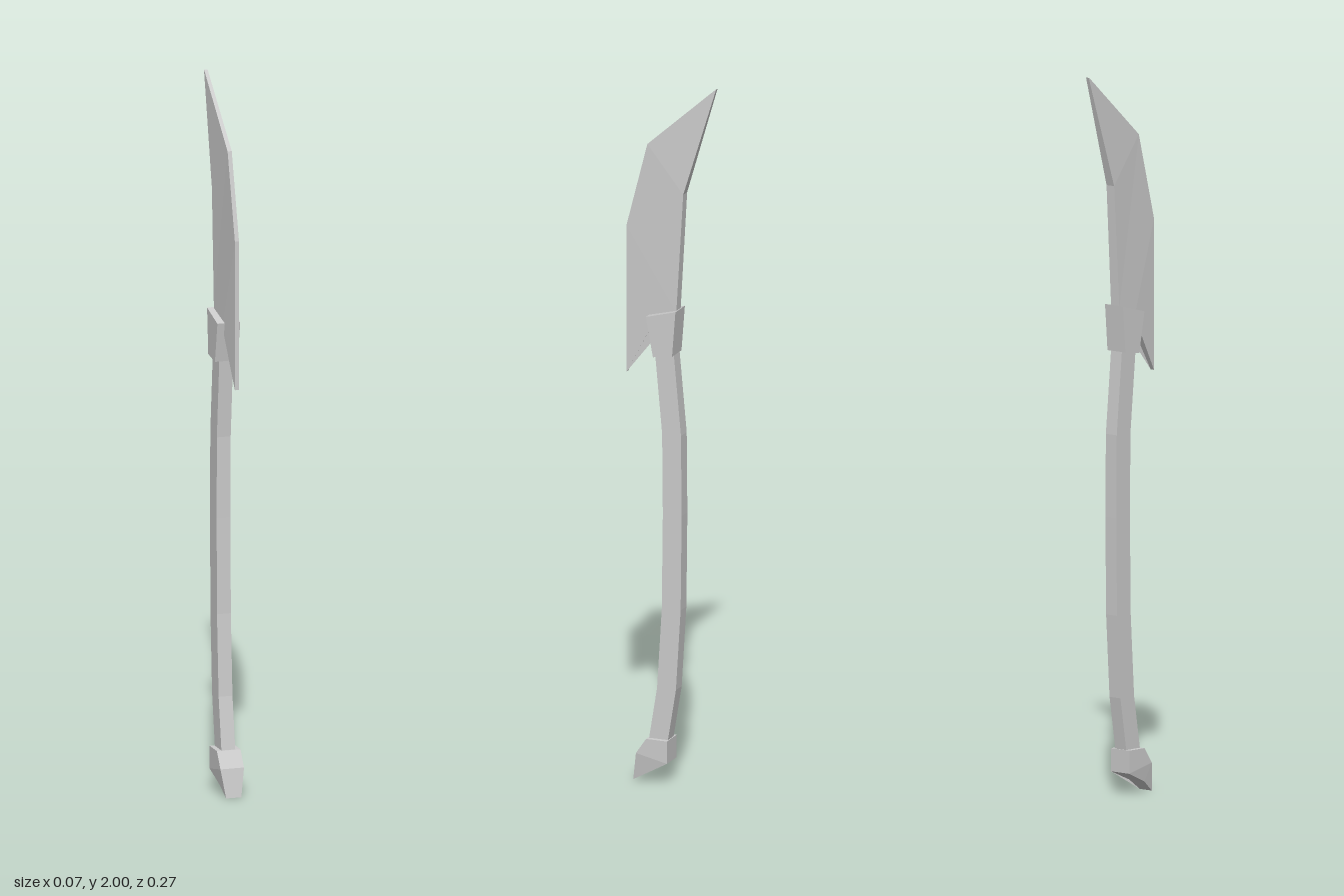
import * as THREE from 'three';

const material = new THREE.MeshStandardMaterial({ color: 0xcccccc, flatShading: true });

// Four-sided loft down a list of stations, top to bottom.
// Each station is a back and a front edge: [backZ, backY, backHalfX, frontZ, frontY, frontHalfX].
function loft(name, stations) {
  const rings = stations.map(([bz, by, bx, fz, fy, fx]) => [
    [-bx, by, bz], [bx, by, bz], [fx, fy, fz], [-fx, fy, fz],
  ]);
  const positions = [];
  const quad = (a, b, c, d) => positions.push(...a, ...b, ...c, ...a, ...c, ...d);
  for (let i = 0; i < rings.length - 1; i++) {
    const top = rings[i], low = rings[i + 1];
    for (let k = 0; k < 4; k++) {
      const n = (k + 1) % 4;
      quad(top[k], top[n], low[n], low[k]);
    }
  }
  const first = rings[0], last = rings[rings.length - 1];
  quad(first[3], first[2], first[1], first[0]);
  quad(last[0], last[1], last[2], last[3]);

  const geometry = new THREE.BufferGeometry();
  geometry.setAttribute('position', new THREE.Float32BufferAttribute(positions, 3));
  geometry.computeVertexNormals();
  const mesh = new THREE.Mesh(geometry, material);
  mesh.name = name;
  return mesh;
}

export function createModel() {
  const group = new THREE.Group();
  group.name = 'glaive';

  // Blade: thick spine at the back, thin cutting edge in front, hooked heel
  group.add(loft('blade', [
    [-0.134, 2.0, 0.005, -0.13, 1.998, 0.005],
    [-0.04, 1.69, 0.014, 0.07, 1.82, 0.006],
    [-0.02, 1.35, 0.015, 0.132, 1.58, 0.006],
    [0.045, 1.32, 0.013, 0.132, 1.16, 0.006],
  ]));

  // Collar: tapered block joining blade and shaft
  group.add(loft('collar', [
    [-0.025, 1.357, 0.033, 0.063, 1.333, 0.033],
    [-0.015, 1.228, 0.033, 0.042, 1.22, 0.033],
  ]));

  // Shaft: square bar with a gentle backward bow, [y, centre z]
  const bow = [[1.25, 0.015], [1.0, -0.008], [0.77, -0.01], [0.5, -0.007], [0.27, 0.007], [0.11, 0.033]];
  group.add(loft('shaft', bow.map(([y, z]) => [z - 0.028, y, 0.02, z + 0.028, y, 0.02])));

  // Pommel: block that sweeps forward to a narrower foot
  group.add(loft('pommel', [
    [0.0, 0.124, 0.034, 0.062, 0.124, 0.034],
    [0.0, 0.06, 0.034, 0.092, 0.08, 0.034],
    [0.068, 0.03, 0.028, 0.105, 0.0, 0.022],
  ]));

  return group;
}
